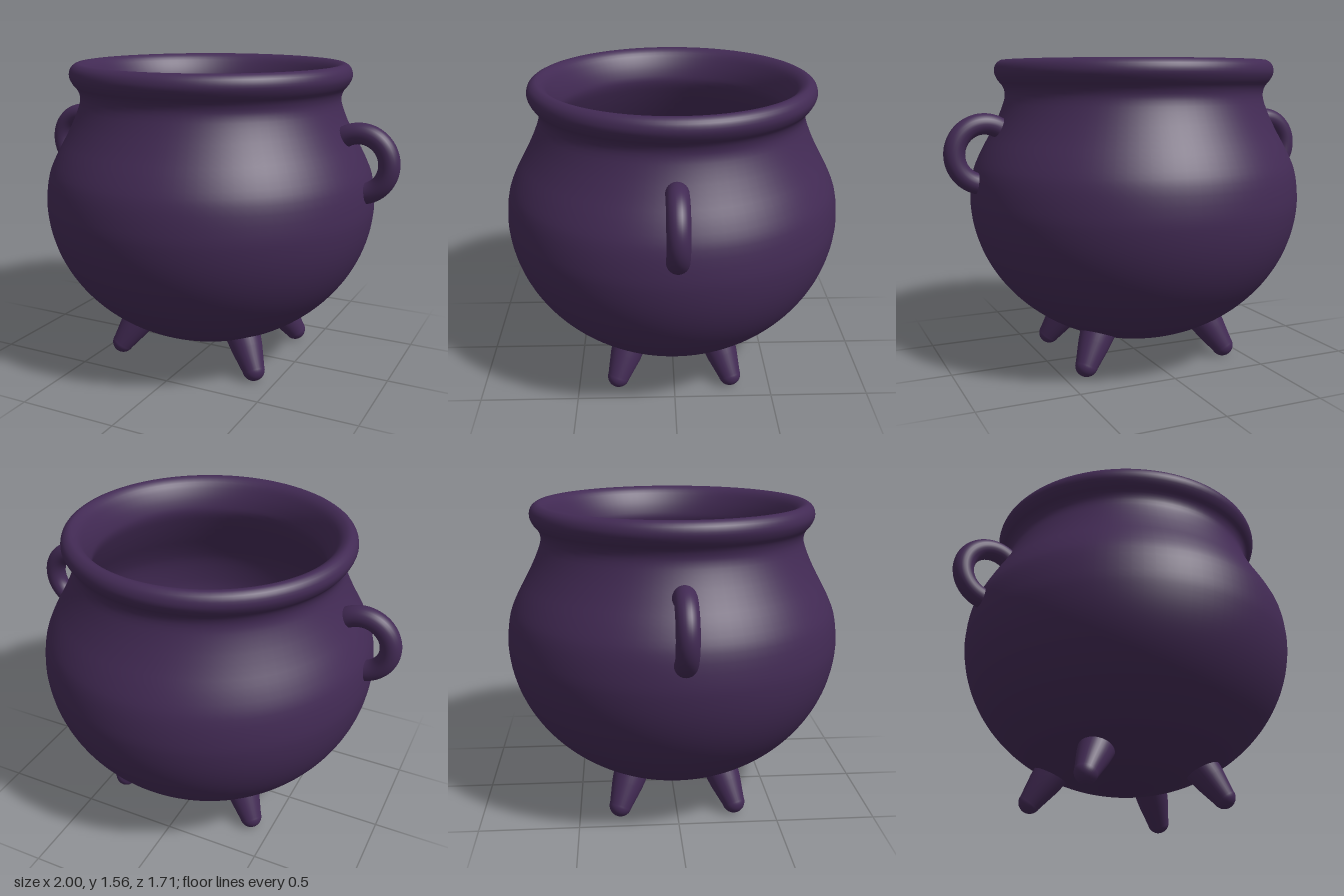
import * as THREE from 'three';

const material = new THREE.MeshStandardMaterial({ color: 0x422a54 });

function part(name, geometry) {
  const mesh = new THREE.Mesh(geometry, material);
  mesh.name = name;
  return mesh;
}

// Lower bowl: quarter ellipse from the bottom centre out to the belly
function bowl(radius, depth, steps) {
  const points = [];
  for (let i = 0; i <= steps; i++) {
    const a = (i / steps) * Math.PI / 2;
    points.push([radius * Math.sin(a), 0.86 - depth * Math.cos(a)]);
  }
  return points;
}

// Pot: outer wall, rolled rim and inner wall in one turned profile
function createPot() {
  const profile = [
    ...bowl(0.855, 0.755, 14),
    [0.837, 1.0], [0.795, 1.1], [0.74, 1.2], [0.692, 1.3], [0.667, 1.38],
    [0.676, 1.425], [0.703, 1.46], [0.719, 1.5], [0.708, 1.54], [0.675, 1.56],
    [0.635, 1.54], [0.605, 1.49], [0.585, 1.43], [0.58, 1.38], [0.61, 1.3],
    [0.66, 1.2], [0.715, 1.1], [0.757, 1.0],
    ...bowl(0.775, 0.68, 14).reverse(),
  ].map(([r, y]) => new THREE.Vector3(r, y, 0));
  const curve = new THREE.CatmullRomCurve3(profile, false, 'centripetal');
  const points = curve.getPoints(150).map((p) => new THREE.Vector2(Math.max(p.x, 0), p.y));
  return part('pot', new THREE.LatheGeometry(points, 96));
}

// Handle: part of a ring whose ends sink into the wall
function createHandle(side) {
  const start = -92 * Math.PI / 180;
  const arc = 222 * Math.PI / 180;
  const geometry = new THREE.TorusGeometry(0.148, 0.052, 24, 64, arc);
  geometry.rotateZ(start);
  const handle = part(side > 0 ? 'leftHandle' : 'rightHandle', geometry);
  handle.position.set(0.8 * side, 1.1, 0);
  if (side < 0) handle.rotation.y = Math.PI;
  return handle;
}

// Foot: tapered peg with rounded ends, splayed outward
function createFoot(sx, sz) {
  const top = new THREE.Vector3(0.283 * sx, 0.24, 0.22 * sz);
  const tip = new THREE.Vector3(0.388 * sx, 0.056, 0.292 * sz);
  const length = top.distanceTo(tip);
  const points = [];
  for (let i = 0; i <= 10; i++) {
    const a = (i / 10) * Math.PI / 2;
    points.push(new THREE.Vector2(0.057 * Math.sin(a), -0.057 * Math.cos(a)));
  }
  points.push(new THREE.Vector2(0.08, length * 0.5));
  for (let i = 0; i <= 10; i++) {
    const a = (i / 10) * Math.PI / 2;
    points.push(new THREE.Vector2(0.095 * Math.cos(a), length + 0.095 * Math.sin(a)));
  }
  const foot = part(`${sz > 0 ? 'front' : 'back'}${sx > 0 ? 'Left' : 'Right'}Foot`,
    new THREE.LatheGeometry(points, 32));
  foot.position.copy(tip);
  foot.quaternion.setFromUnitVectors(new THREE.Vector3(0, 1, 0), top.sub(tip).normalize());
  return foot;
}

export function createModel() {
  const model = new THREE.Group();
  model.name = 'cauldron';
  model.add(createPot());
  for (const side of [1, -1]) {
    model.add(createHandle(side));
    for (const depth of [1, -1]) model.add(createFoot(side, depth));
  }
  return model;
}
